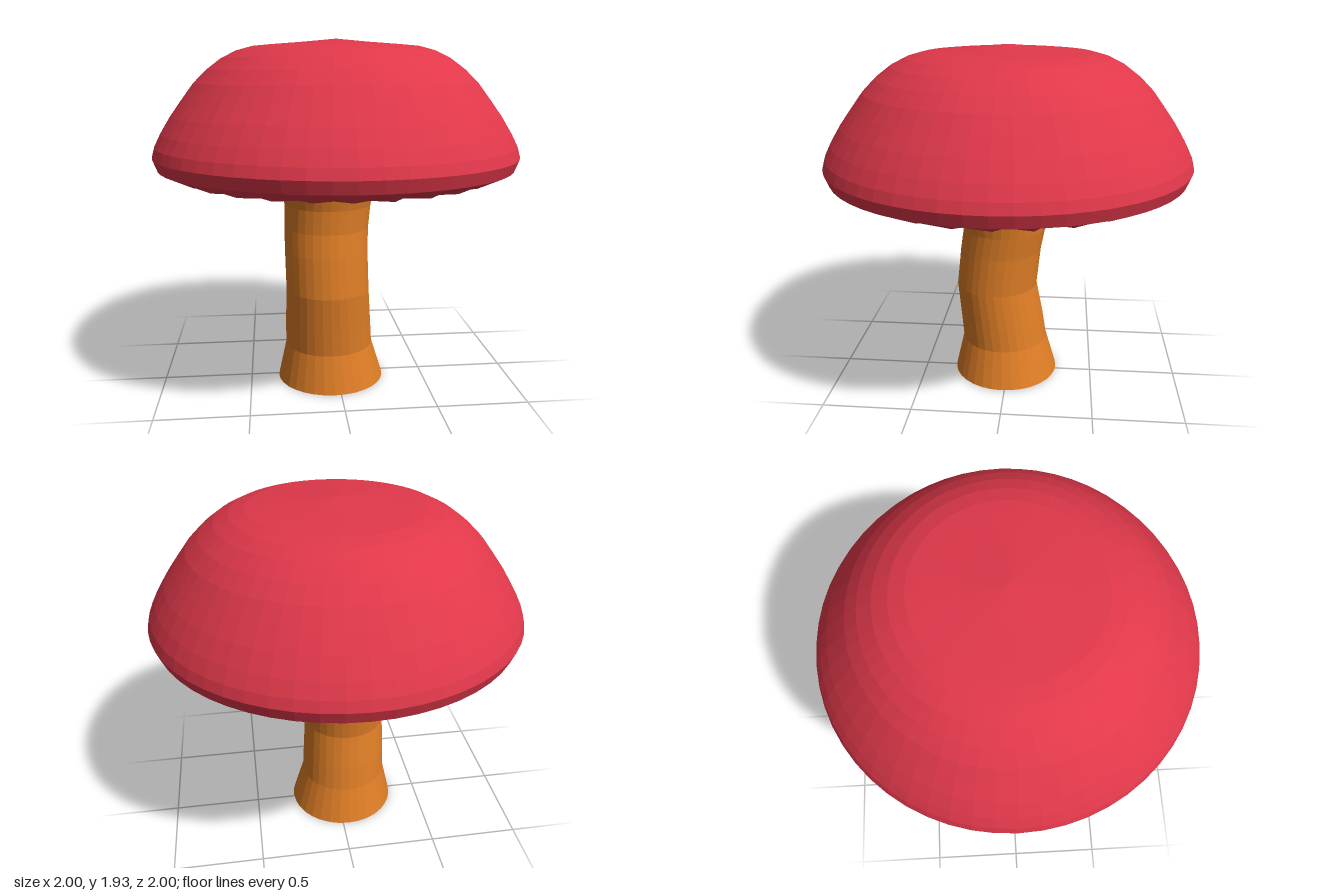
import * as THREE from 'three';

const SIDES = 56;

function makeMesh(name, geometry, color) {
  const material = new THREE.MeshStandardMaterial({ color, flatShading: true });
  const mesh = new THREE.Mesh(geometry, material);
  mesh.name = name;
  return mesh;
}

// Cap: one turned profile, with a zigzag ring of gills under the rim
function createCap() {
  const profile = [
    [0, 1.13], [0.25, 1.135], [0.84, 1.188], [0.975, 1.25], [1, 1.315],
    [0.985, 1.37], [0.95, 1.44], [0.895, 1.53], [0.83, 1.62], [0.77, 1.7],
    [0.7, 1.77], [0.62, 1.83], [0.54, 1.87], [0.46, 1.892], [0.38, 1.9],
    [0.2, 1.915], [0, 1.935],
  ].map(([r, y]) => new THREE.Vector2(r, y));
  const geometry = new THREE.LatheGeometry(profile, SIDES);
  const pos = geometry.attributes.position;
  const gillRow = 2;
  const inner = 0.74 / 0.84;
  for (let i = 1; i < SIDES; i += 2) {
    const k = i * profile.length + gillRow;
    pos.setXYZ(k, pos.getX(k) * inner, 1.179, pos.getZ(k) * inner);
  }
  return makeMesh('cap', geometry, 0xe0384a);
}

// Stem: a cylinder whose rings follow a bent centre line
function createStem() {
  // height, centre x, centre z, radius
  const rings = [
    [0, -0.035, 0.015, 0.305], [0.21, -0.045, 0.022, 0.25],
    [0.35, -0.05, 0.04, 0.245], [0.55, -0.055, 0.07, 0.235],
    [0.77, -0.06, 0.047, 0.235], [0.9, -0.058, 0.025, 0.238],
    [1.03, -0.05, 0.022, 0.243], [1.16, -0.048, 0.022, 0.27],
  ];
  const last = rings.length - 1;
  const geometry = new THREE.CylinderGeometry(1, 1, last, 32, last);
  const pos = geometry.attributes.position;
  for (let k = 0; k < pos.count; k++) {
    const [y, cx, cz, r] = rings[Math.round(pos.getY(k) + last / 2)];
    pos.setXYZ(k, cx + pos.getX(k) * r, y, cz + pos.getZ(k) * r);
  }
  return makeMesh('stem', geometry, 0xde7d26);
}

export function createModel() {
  const mushroom = new THREE.Group();
  mushroom.name = 'mushroom';
  mushroom.add(createCap(), createStem());
  return mushroom;
}
